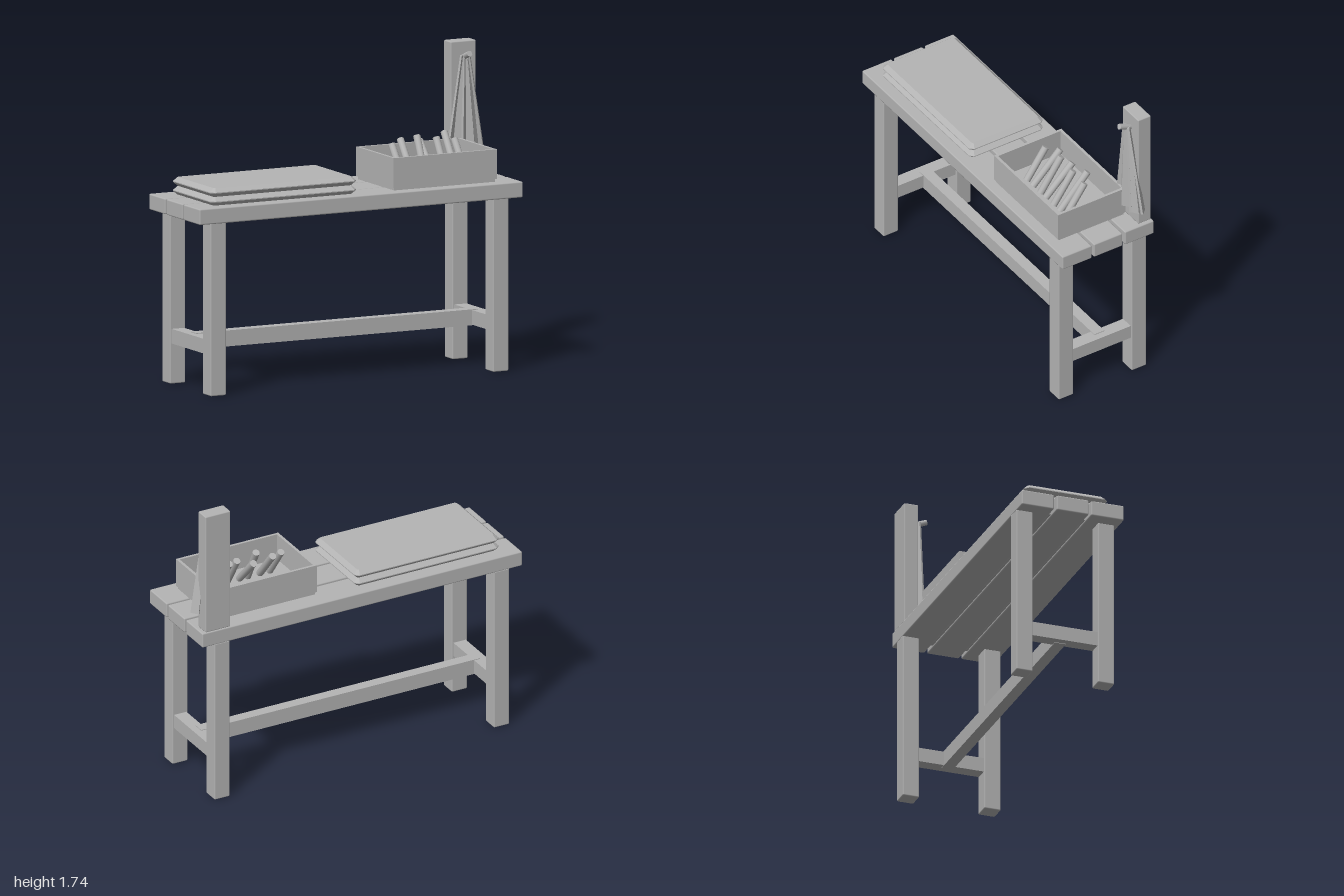
import * as THREE from 'three';
import { RoundedBoxGeometry } from 'three/addons/geometries/RoundedBoxGeometry.js';

const grey = new THREE.MeshStandardMaterial({ color: 0xb4b4b4 });
grey.name = 'plain grey';

export function createModel() {
  const model = new THREE.Group();
  model.name = 'workbench';

  const add = (name, geometry, parent = model) => {
    const mesh = new THREE.Mesh(geometry, grey);
    mesh.name = name;
    parent.add(mesh);
    return mesh;
  };
  const group = (name) => {
    const g = new THREE.Group();
    g.name = name;
    model.add(g);
    return g;
  };
  // Box given by its limits on each axis, with optional softened edges
  const box = (name, [x0, x1], [y0, y1], [z0, z1], parent = model, soft = 0) => {
    const size = [x1 - x0, y1 - y0, z1 - z0];
    const geometry = soft ? new RoundedBoxGeometry(...size, 1, soft) : new THREE.BoxGeometry(...size);
    const mesh = add(name, geometry, parent);
    mesh.position.set((x0 + x1) / 2, (y0 + y1) / 2, (z0 + z1) / 2);
    return mesh;
  };
  // Straight round rod between two points
  const rod = (name, from, to, radius, parent = model) => {
    const a = new THREE.Vector3(...from), b = new THREE.Vector3(...to);
    const dir = b.clone().sub(a);
    const mesh = add(name, new THREE.CylinderGeometry(radius, radius, dir.length(), 10), parent);
    mesh.position.copy(a).lerp(b, 0.5);
    mesh.quaternion.setFromUnitVectors(new THREE.Vector3(0, 1, 0), dir.normalize());
    return mesh;
  };

  // Table top: three planks, joined underneath the gaps
  const top = group('tableTop');
  for (const z of [[0.105, 0.295], [-0.093, 0.092], [-0.295, -0.108]]) {
    box('plank', [-1, 0.97], [0.945, 1.032], z, top, 0.008);
  }
  box('plankBacking', [-0.91, 0.88], [0.955, 1.0], [-0.12, 0.12], top);

  // Legs and stretchers
  const frame = group('frame');
  for (const x of [[-0.92, -0.825], [0.8, 0.895]]) {
    for (const z of [[0.175, 0.27], [-0.295, -0.2]]) box('leg', x, [0, 0.95], z, frame, 0.007);
    const mid = (x[0] + x[1]) / 2;
    box('sideStretcher', [mid - 0.038, mid + 0.038], [0.22, 0.3], [-0.205, 0.18], frame);
  }
  box('longStretcher', [-0.87, 0.845], [0.217, 0.304], [-0.056, 0.008], frame);

  // Two folded pads with bevelled rims
  const pads = group('pads');
  const bevel = 0.024, hx = 0.42, hz = 0.214, cut = 0.008;
  const outline = new THREE.Shape([
    [-hx + cut, -hz], [hx - cut, -hz], [hx, -hz + cut], [hx, hz - cut],
    [hx - cut, hz], [-hx + cut, hz], [-hx, hz - cut], [-hx, -hz + cut],
  ].map((p) => new THREE.Vector2(...p)));
  for (const y of [1.03, 1.079]) {
    const geometry = new THREE.ExtrudeGeometry(outline, {
      depth: 0.005, bevelThickness: 0.0215, bevelSize: bevel, bevelSegments: 1,
    });
    geometry.rotateX(-Math.PI / 2);
    add('pad', geometry, pads).position.set(-0.453, y + 0.0215, 0.004);
  }

  // Open tray
  const tray = group('tray');
  const trayX = [0.21, 0.84], trayZ = [-0.195, 0.238], wall = 0.016, wallY = [1.048, 1.21];
  box('trayFloor', [0.218, 0.832], [1.03, 1.06], [-0.187, 0.23], tray);
  box('trayFront', trayX, wallY, [trayZ[1] - wall, trayZ[1]], tray);
  box('trayBack', trayX, wallY, [trayZ[0], trayZ[0] + wall], tray);
  for (const x of [[trayX[0], trayX[0] + wall], [trayX[1] - wall, trayX[1]]]) {
    box('traySide', x, wallY, [trayZ[0] + wall, trayZ[1] - wall], tray);
  }

  // Rods leaning in the tray: foot x, head x, head y, head z
  const rods = group('rods');
  for (const [x0, x1, y1, z1] of [
    [0.335, 0.332, 1.24, -0.015], [0.395, 0.408, 1.255, -0.06], [0.47, 0.485, 1.275, -0.015],
    [0.52, 0.526, 1.24, -0.06], [0.597, 0.603, 1.255, -0.015], [0.66, 0.675, 1.275, -0.06],
    [0.715, 0.713, 1.24, -0.015],
  ]) rod('rod', [x0, 1.07, 0.108], [x1, y1, z1], 0.02, rods);

  // Upright post with a peg
  box('post', [0.793, 0.948], [1.03, 1.735], [-0.29, -0.207], model, 0.007);
  rod('peg', [0.87, 1.642, -0.22], [0.87, 1.675, -0.135], 0.016);

  // Hanging strips, widening downwards: top x, bottom x, bottom y, bottom z, turn
  const strips = group('strips');
  for (const [x0, x1, y1, z1, turn] of [
    [0.85, 0.785, 1.14, -0.2, 0.5], [0.857, 0.82, 1.12, -0.19, -0.4], [0.865, 0.86, 1.11, -0.185, 0.7],
    [0.872, 0.905, 1.11, -0.185, -0.6], [0.88, 0.94, 1.11, -0.195, 0.5], [0.887, 0.975, 1.125, -0.22, -0.8],
  ]) {
    const a = new THREE.Vector3(x0, 1.66, -0.185), b = new THREE.Vector3(x1, y1, z1);
    const dir = a.clone().sub(b), length = dir.length();
    const geometry = new THREE.BoxGeometry(0.048, length, 0.012);
    const p = geometry.attributes.position;
    for (let i = 0; i < p.count; i++) if (p.getY(i) > 0) p.setX(i, p.getX(i) * 0.45);
    geometry.rotateY(turn);
    geometry.computeVertexNormals();
    const mesh = add('strip', geometry, strips);
    mesh.position.copy(a).lerp(b, 0.5);
    mesh.quaternion.setFromUnitVectors(new THREE.Vector3(0, 1, 0), dir.normalize());
  }

  return model;
}
